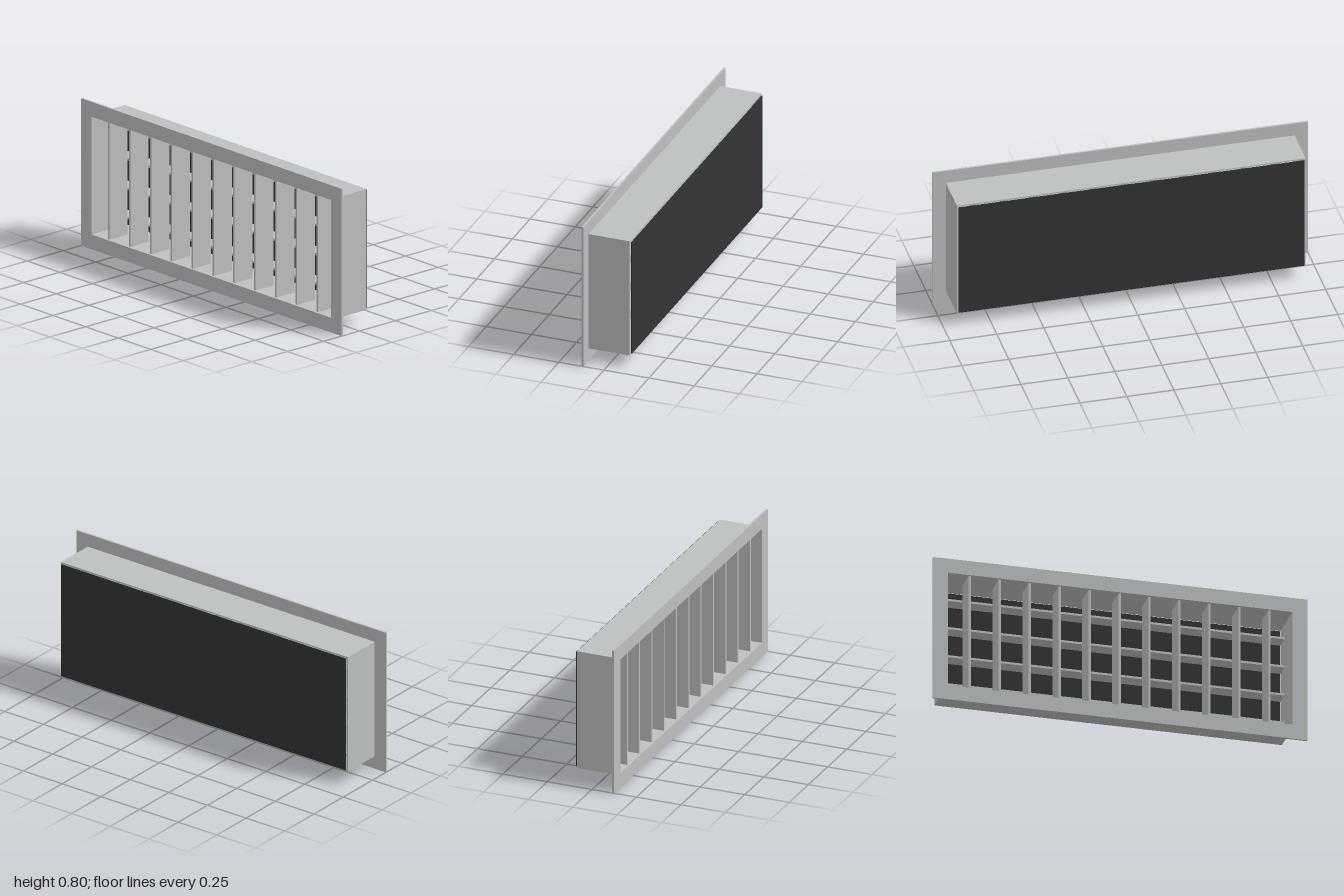
import * as THREE from 'three';

export function createModel() {
  const model = new THREE.Group();
  const metal = new THREE.MeshStandardMaterial({ color: 0xbcc0bf });
  metal.name = 'grey metal';
  const dark = new THREE.MeshStandardMaterial({ color: 0x333333 });
  dark.name = 'dark backing';

  const midY = 0.4;
  const openW = 1.84, openH = 0.64; // clear opening

  // Rectangular ring, extruded from zBack to zFront
  function ring(name, w, h, zBack, zFront) {
    const shape = new THREE.Shape();
    shape.moveTo(-w / 2, -h / 2).lineTo(w / 2, -h / 2).lineTo(w / 2, h / 2).lineTo(-w / 2, h / 2).closePath();
    const hole = new THREE.Path();
    hole.moveTo(-openW / 2, -openH / 2).lineTo(-openW / 2, openH / 2).lineTo(openW / 2, openH / 2).lineTo(openW / 2, -openH / 2).closePath();
    shape.holes.push(hole);
    const geometry = new THREE.ExtrudeGeometry(shape, { depth: zFront - zBack, bevelEnabled: false });
    const mesh = new THREE.Mesh(geometry, metal);
    mesh.name = name;
    mesh.position.set(0, midY, zBack);
    model.add(mesh);
  }

  function box(name, parent, material, w, h, d, x, y, z) {
    const mesh = new THREE.Mesh(new THREE.BoxGeometry(w, h, d), material);
    mesh.name = name;
    mesh.position.set(x, y, z);
    parent.add(mesh);
  }

  // Front flange and the duct collar behind it
  ring('flange', 2, 0.8, 0.114, 0.125);
  ring('collar', 1.856, 0.656, -0.115, 0.114);

  // Front row of upright blades
  const uprights = new THREE.Group();
  uprights.name = 'verticalBlades';
  for (let i = -5; i <= 5; i++) {
    box('verticalBlade', uprights, metal, 0.012, openH, 0.125, i * 0.16, midY, 0.05);
  }

  // Rear row of level blades
  const levels = new THREE.Group();
  levels.name = 'horizontalBlades';
  for (let i = 1; i <= 4; i++) {
    box('horizontalBlade', levels, metal, openW, 0.012, 0.08, 0, i * 0.16, -0.07);
  }
  model.add(uprights, levels);

  // Backing sheet, just clear of the collar
  box('backPanel', model, dark, openW, openH, 0.005, 0, midY, -0.1215);

  return model;
}
